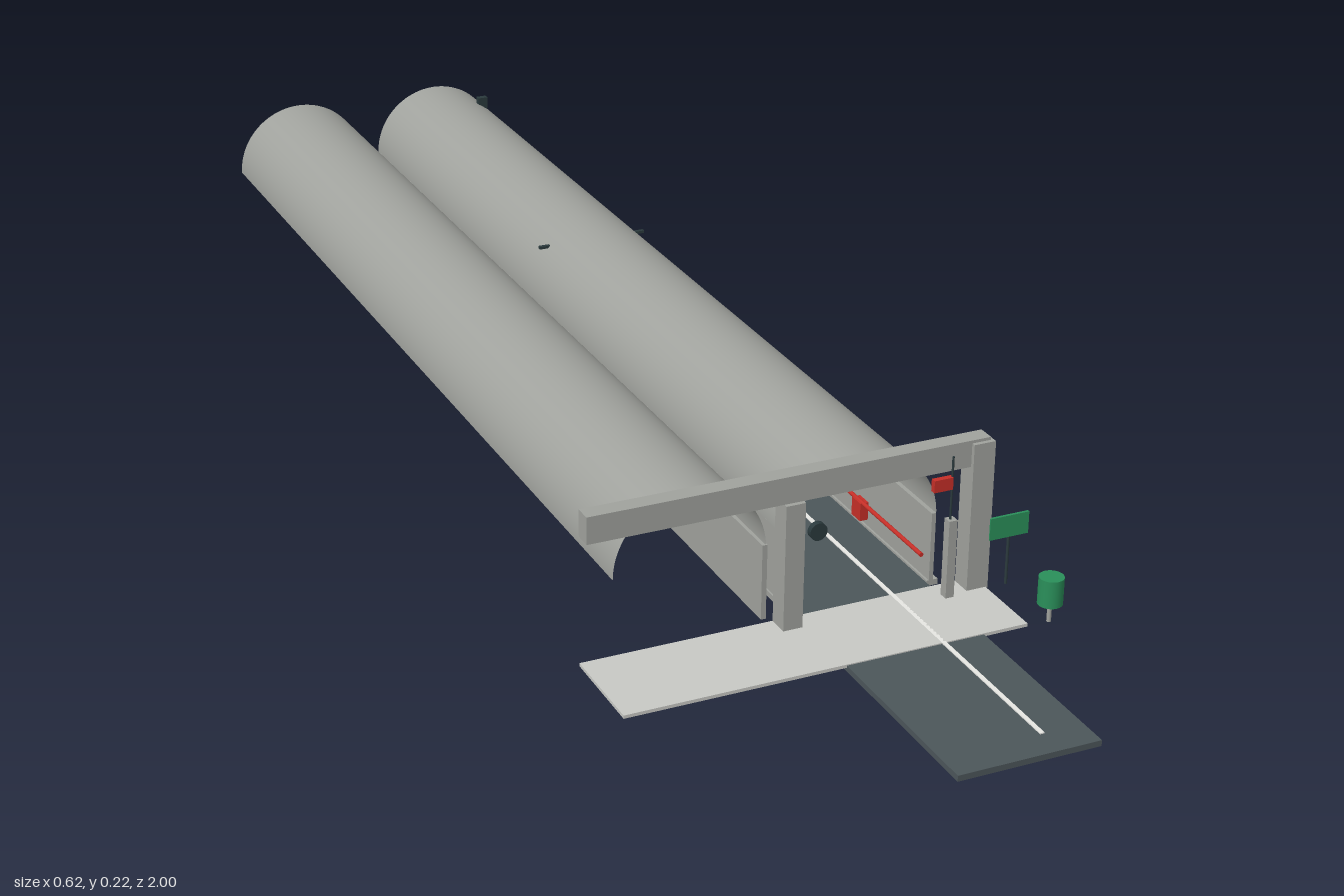
import * as THREE from 'three';

const mat = (name, color, side = THREE.FrontSide) => {
  const m = new THREE.MeshStandardMaterial({ color, side });
  m.name = name;
  return m;
};

export function createModel() {
  const root = new THREE.Group();
  root.name = 'twinTunnel';
  const concrete = mat('concrete', 0xa0a29d);
  const lining = mat('tunnel lining', 0xa0a29d, THREE.DoubleSide);
  const pale = mat('pale concrete', 0xc8c9c5);
  const asphalt = mat('asphalt', 0x4c565a);
  const dark = mat('dark equipment', 0x2b3a3d);
  const red = mat('safety red', 0xc62f28);
  const green = mat('sign green', 0x2a8f5a);
  const white = mat('road paint', 0xe8e8e4);

  const add = (name, geometry, material, parent = root) => {
    const mesh = new THREE.Mesh(geometry, material);
    mesh.name = name;
    parent.add(mesh);
    return mesh;
  };
  // Box given by its limits on each axis
  const box = (name, material, [x0, x1], [y0, y1], [z0, z1], parent) => {
    const g = new THREE.BoxGeometry(x1 - x0, y1 - y0, z1 - z0);
    g.translate((x0 + x1) / 2, (y0 + y1) / 2, (z0 + z1) / 2);
    return add(name, g, material, parent);
  };
  // Upright cylinder from y0 to y1
  const post = (name, material, x, z, r, y0, y1, parent) => {
    const g = new THREE.CylinderGeometry(r, r, y1 - y0, 24);
    g.translate(x, (y0 + y1) / 2, z);
    return add(name, g, material, parent);
  };
  // Open half-round vault running along z
  const vault = (name, x, r, spring, z0, z1) => {
    const g = new THREE.CylinderGeometry(r, r, z1 - z0, 48, 1, true, Math.PI / 2, Math.PI);
    g.rotateX(Math.PI / 2);
    g.translate(x, spring, (z0 + z1) / 2);
    return add(name, g, lining);
  };

  // Road through the main tube, with its lane line
  box('road', asphalt, [-0.007, 0.187], [0, 0.008], [-1, 1]);
  box('laneLine', white, [0.127, 0.133], [0.008, 0.0095], [-0.98, 0.96]);

  // Main tube: vault, side walls and kerbs
  vault('mainVault', 0.092, 0.104, 0.106, -0.99, 0.58);
  for (const [x, out] of [[-0.012, -1], [0.196, 1]]) {
    const inner = x - out * 0.006;
    box('mainWall', concrete, [Math.min(x, inner), Math.max(x, inner)], [0.004, 0.108], [-0.99, 0.58]);
  }
  box('kerb', concrete, [0.187, 0.203], [0.003, 0.011], [-1, 0.58]);
  box('kerb', concrete, [-0.014, -0.007], [0.003, 0.011], [-1, 0.58]);

  // Second tube: vault carried by one inner wall
  vault('secondVault', -0.15, 0.105, 0.105, -0.99, 0.575);
  box('secondWall', concrete, [-0.05, -0.043], [0.004, 0.11], [-0.99, 0.575]);

  // Portal frame and forecourt slab
  const portal = new THREE.Group();
  portal.name = 'portal';
  root.add(portal);
  box('lintel', concrete, [-0.307, 0.249], [0.185, 0.222], [0.592, 0.616], portal);
  box('middlePillar', concrete, [-0.042, -0.015], [0.008, 0.185], [0.592, 0.622], portal);
  box('outerPillar', concrete, [0.222, 0.253], [0.008, 0.218], [0.592, 0.622], portal);
  box('forecourt', pale, [-0.307, 0.25], [0.005, 0.0095], [0.592, 0.727], portal);

  // Round signal on the middle pillar
  const disc = new THREE.CylinderGeometry(0.012, 0.012, 0.008, 32);
  disc.rotateX(Math.PI / 2);
  disc.translate(0, 0.145, 0.626);
  add('roundSignal', disc, dark, portal);

  // Barrier mast with red lamp box
  box('mastBase', concrete, [0.187, 0.199], [0.008, 0.12], [0.616, 0.629]);
  post('mast', dark, 0.192, 0.622, 0.0015, 0.12, 0.208);
  box('lampBox', red, [0.165, 0.192], [0.163, 0.18], [0.617, 0.625]);

  // Green roadside sign and marker drum
  box('roadsideSign', green, [0.251, 0.308], [0.077, 0.108], [0.62, 0.624]);
  post('signPost', dark, 0.28, 0.622, 0.002, 0.008, 0.077);
  post('markerDrum', green, 0.279, 0.73, 0.0165, 0.034, 0.072);
  post('drumPost', concrete, 0.279, 0.73, 0.003, 0.008, 0.034);

  // Overhead sign gantry inside the main tube
  const gantry = new THREE.Group();
  gantry.name = 'gantry';
  root.add(gantry);
  box('gantryBar', dark, [0.005, 0.177], [0.179, 0.183], [-0.303, -0.297], gantry);
  for (const x of [0.05, 0.094])
    box('laneSignal', dark, [x - 0.0125, x + 0.0125], [0.159, 0.18], [-0.308, -0.292], gantry);
  box('roofSensor', dark, [0.142, 0.158], [0.188, 0.208], [-0.917, -0.907]);

  // Fire main and hose cabinets along the right wall
  const pipe = new THREE.CylinderGeometry(0.003, 0.003, 1.55, 12);
  pipe.rotateX(Math.PI / 2);
  pipe.translate(0.183, 0.045, -0.205);
  add('fireMain', pipe, red);
  for (const z of [-0.8, -0.4, 0, 0.4])
    box('hoseCabinet', red, [0.178, 0.19], [0.02, 0.046], [z - 0.012, z + 0.012]);

  // Small vehicle in the tube
  const car = new THREE.Group();
  car.name = 'vehicle';
  root.add(car);
  box('body', pale, [0.046, 0.094], [0.02, 0.036], [0.2, 0.29], car);
  box('cabin', dark, [0.051, 0.088], [0.036, 0.053], [0.215, 0.27], car);
  box('tailLight', red, [0.081, 0.086], [0.026, 0.031], [0.29, 0.292], car);
  for (const x of [0.05, 0.092])
    for (const z of [0.217, 0.273]) {
      const wheel = new THREE.CylinderGeometry(0.008, 0.008, 0.004, 16);
      wheel.rotateZ(Math.PI / 2);
      wheel.translate(x, 0.016, z);
      add('wheel', wheel, dark, car);
    }

  return root;
}
